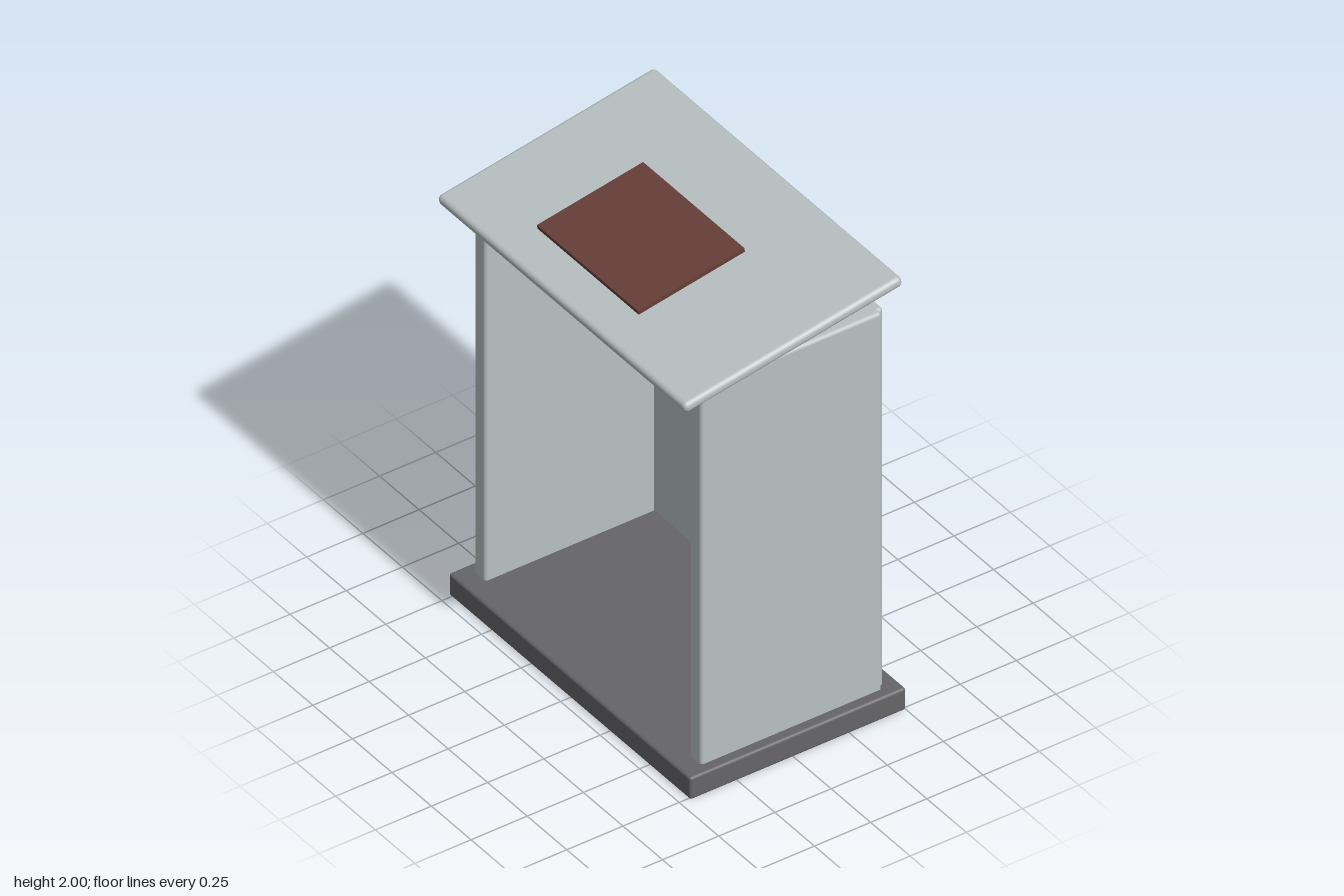
import * as THREE from 'three';
import { RoundedBoxGeometry } from 'three/addons/geometries/RoundedBoxGeometry.js';

const mat = (name, color) => new THREE.MeshStandardMaterial({ name, color });

export function createModel() {
  const model = new THREE.Group();
  model.name = 'lectern';
  const panel = mat('pale grey', 0xb8c0c2);
  const dark = mat('dark grey', 0x656468);
  const leather = mat('book brown', 0x673f38);
  const gold = mat('muted gold', 0xc9b47c);

  const add = (name, geometry, material, x = 0, y = 0, z = 0, tilt = 0) => {
    const mesh = new THREE.Mesh(geometry, material);
    mesh.name = name;
    mesh.position.set(x, y, z);
    mesh.rotation.z = tilt;
    model.add(mesh);
    return mesh;
  };
  // Box with softened edges, given by its lower and upper corners
  const slab = (name, material, a, b, radius) => add(
    name,
    new RoundedBoxGeometry(b[0] - a[0], b[1] - a[1], b[2] - a[2], 4, radius),
    material,
    (a[0] + b[0]) / 2, (a[1] + b[1]) / 2, (a[2] + b[2]) / 2,
  );

  // Plinth
  slab('base', dark, [-0.46, 0, -0.765], [0.5, 0.1, 0.765], 0.012);

  // Cabinet, open towards the reader at -x, with notched corners at +x
  slab('facePanel', panel, [0.37, 0.08, -0.7], [0.445, 1.81, 0.7], 0.015);
  slab('leftPanel', panel, [-0.38, 0.08, 0.645], [0.425, 1.81, 0.72], 0.015);
  slab('rightPanel', panel, [-0.38, 0.08, -0.72], [0.425, 1.81, -0.645], 0.015);

  // Sloping reading top and the book above it
  const slope = THREE.MathUtils.degToRad(10);
  add('readingTop', new RoundedBoxGeometry(0.985, 0.046, 1.57, 5, 0.02), panel,
    -0.0125, 1.884, 0, slope);
  add('book', new THREE.BoxGeometry(0.48, 0.018, 0.64), leather, -0.1425, 1.95, 0, slope);

  // Cross on the face: one outline, mirrored about its upright
  const half = [[0.045, 0.74], [0.045, 1.175], [0.21, 1.175], [0.21, 1.27], [0.045, 1.27], [0.045, 1.41]];
  const mirrored = half.map(([x, y]) => [-x, y]).reverse();
  const outline = new THREE.Shape([...half, ...mirrored].map(([x, y]) => new THREE.Vector2(x, y)));
  const cross = add('cross', new THREE.ExtrudeGeometry(outline, { depth: 0.025, bevelEnabled: false }),
    gold, 0.436);
  cross.rotation.y = Math.PI / 2;

  return model;
}
